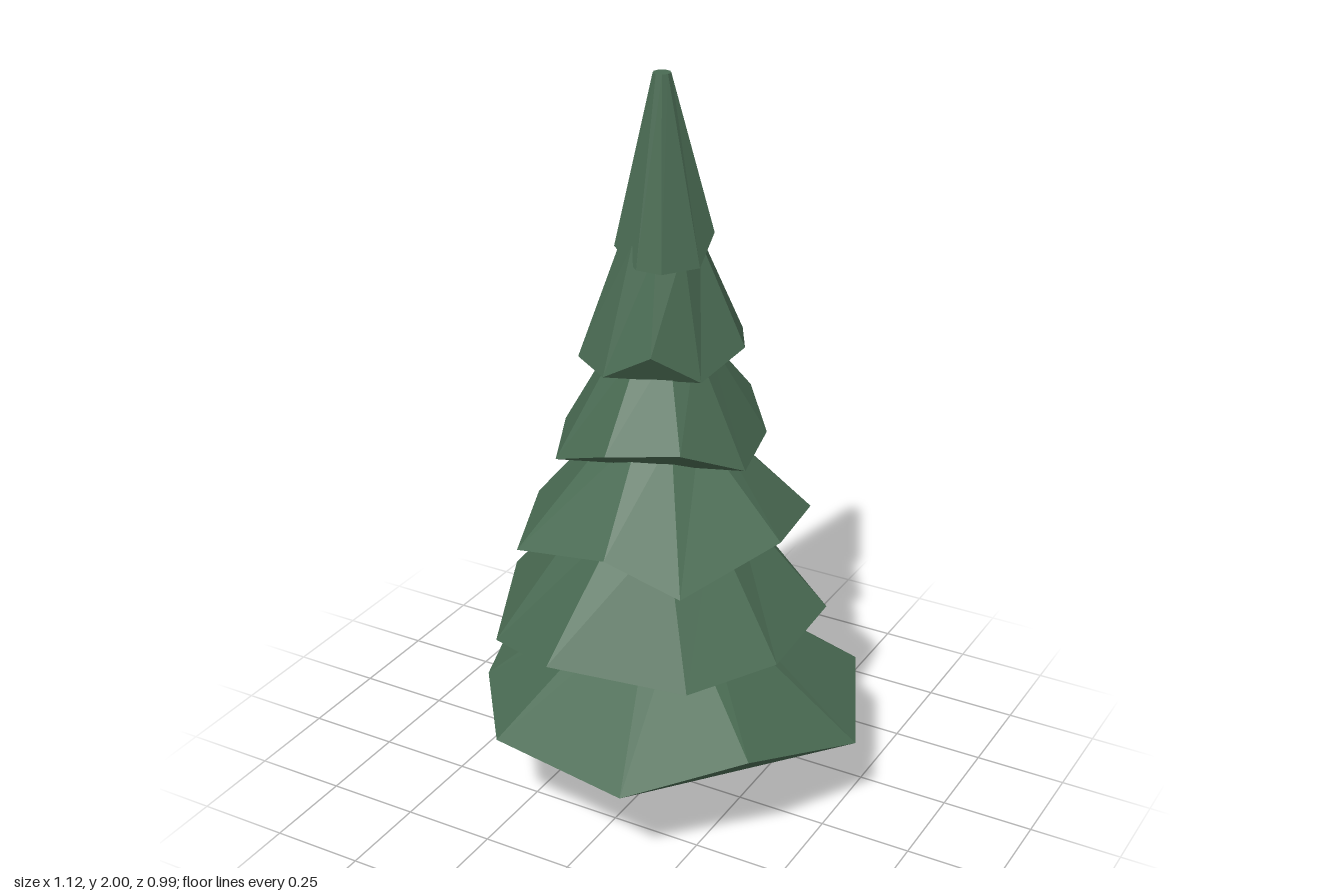
import * as THREE from 'three';

const foliage = new THREE.MeshStandardMaterial({ color: 0x4a6b53, flatShading: true });
foliage.name = 'foliage green';
const bark = new THREE.MeshStandardMaterial({ color: 0x5a4436, flatShading: true });
bark.name = 'bark brown';

const SIDES = 9;

// Foliage skirt: a nine-sided frustum whose rim corners vary in reach and height.
// Corners are evenly spaced from the twist angle in degrees; sway turns single corners.
// The underside is a fan of triangles from the root corner.
function skirtGeometry({ twist, topY, topRadius, reach, height, sway, root }) {
  const corner = (degrees, radius, y) => {
    const angle = THREE.MathUtils.degToRad(degrees);
    return [radius * Math.cos(angle), y, radius * Math.sin(angle)];
  };
  const turn = (i) => twist + (i * 360) / SIDES;
  const rim = reach.map((radius, i) => corner(turn(i) + (sway[i] ?? 0), radius, height[i]));
  const ring = reach.map((_, i) => corner(turn(i), topRadius, topY));
  const cap = [0, topY, 0];

  const triangles = [];
  for (let i = 0; i < SIDES; i++) {
    const j = (i + 1) % SIDES;
    triangles.push(rim[j], rim[i], ring[i], rim[j], ring[i], ring[j]); // side
    triangles.push(cap, ring[j], ring[i]); // top
    if (i !== root && j !== root) triangles.push(rim[root], rim[i], rim[j]); // underside
  }
  const geometry = new THREE.BufferGeometry();
  geometry.setAttribute('position', new THREE.Float32BufferAttribute(triangles.flat(), 3));
  geometry.computeVertexNormals();
  return geometry;
}

export function createModel() {
  const tree = new THREE.Group();
  tree.name = 'conifer';

  // Everything stands on the trunk's axis, slightly off the centre
  const addPart = (name, geometry, material, y = 0) => {
    const mesh = new THREE.Mesh(geometry, material);
    mesh.name = name;
    mesh.position.set(-0.012, y, -0.028);
    tree.add(mesh);
  };

  addPart('trunk', new THREE.CylinderGeometry(0.03, 0.037, 0.5, 7), bark, 0.25);

  // Skirts from the ground up
  addPart('lowestSkirt', skirtGeometry({
    twist: -124.3, topY: 0.58, topRadius: 0.12, root: 5, sway: { 5: -3.7, 6: 2 },
    reach: [0.557, 0.472, 0.565, 0.569, 0.522, 0.548, 0.52, 0.482, 0.57],
    height: [0.31, 0.265, 0.267, 0.236, 0.33, 0.267, 0.275, 0.28, 0.305],
  }), foliage);

  addPart('secondSkirt', skirtGeometry({
    twist: -142.8, topY: 0.85, topRadius: 0.19, root: 7, sway: { 0: 2, 3: 2.4, 5: -4.8, 7: -4.6, 8: 1.5 },
    reach: [0.475, 0.43, 0.4, 0.445, 0.43, 0.43, 0.493, 0.462, 0.458],
    height: [0.49, 0.495, 0.525, 0.557, 0.525, 0.503, 0.57, 0.498, 0.535],
  }), foliage);

  addPart('thirdSkirt', skirtGeometry({
    twist: -150.3, topY: 1.08, topRadius: 0.125, root: 1, sway: { 0: 3.3, 1: -5.3, 5: 5, 6: -3.4 },
    reach: [0.331, 0.355, 0.408, 0.394, 0.388, 0.428, 0.341, 0.403, 0.35],
    height: [0.765, 0.765, 0.775, 0.82, 0.845, 0.78, 0.825, 0.77, 0.81],
  }), foliage);

  addPart('fourthSkirt', skirtGeometry({
    twist: -149.2, topY: 1.32, topRadius: 0.11, root: 7, sway: { 0: 3.4, 1: -2.2, 2: 3.5, 3: -2.8 },
    reach: [0.258, 0.267, 0.294, 0.274, 0.276, 0.264, 0.285, 0.29, 0.27],
    height: [1.08, 1.03, 1.098, 1.035, 1.015, 1.095, 1.088, 1.01, 1.037],
  }), foliage);

  addPart('fifthSkirt', skirtGeometry({
    twist: -131.2, topY: 1.58, topRadius: 0.1, root: 6, sway: { 0: 2.5, 1: 1.8, 3: -2.1 },
    reach: [0.205, 0.195, 0.225, 0.218, 0.185, 0.199, 0.199, 0.214, 0.21],
    height: [1.265, 1.258, 1.3, 1.305, 1.25, 1.333, 1.255, 1.258, 1.262],
  }), foliage);

  addPart('treeTop', skirtGeometry({
    twist: -138.5, topY: 2, topRadius: 0.023, root: 5, sway: { 0: 8, 1: 7, 4: -7, 6: -7, 7: 3 },
    reach: [0.123, 0.12, 0.129, 0.133, 0.13, 0.129, 0.115, 0.12, 0.133],
    height: [1.55, 1.55, 1.6, 1.6, 1.53, 1.527, 1.527, 1.56, 1.54],
  }), foliage);

  return tree;
}
